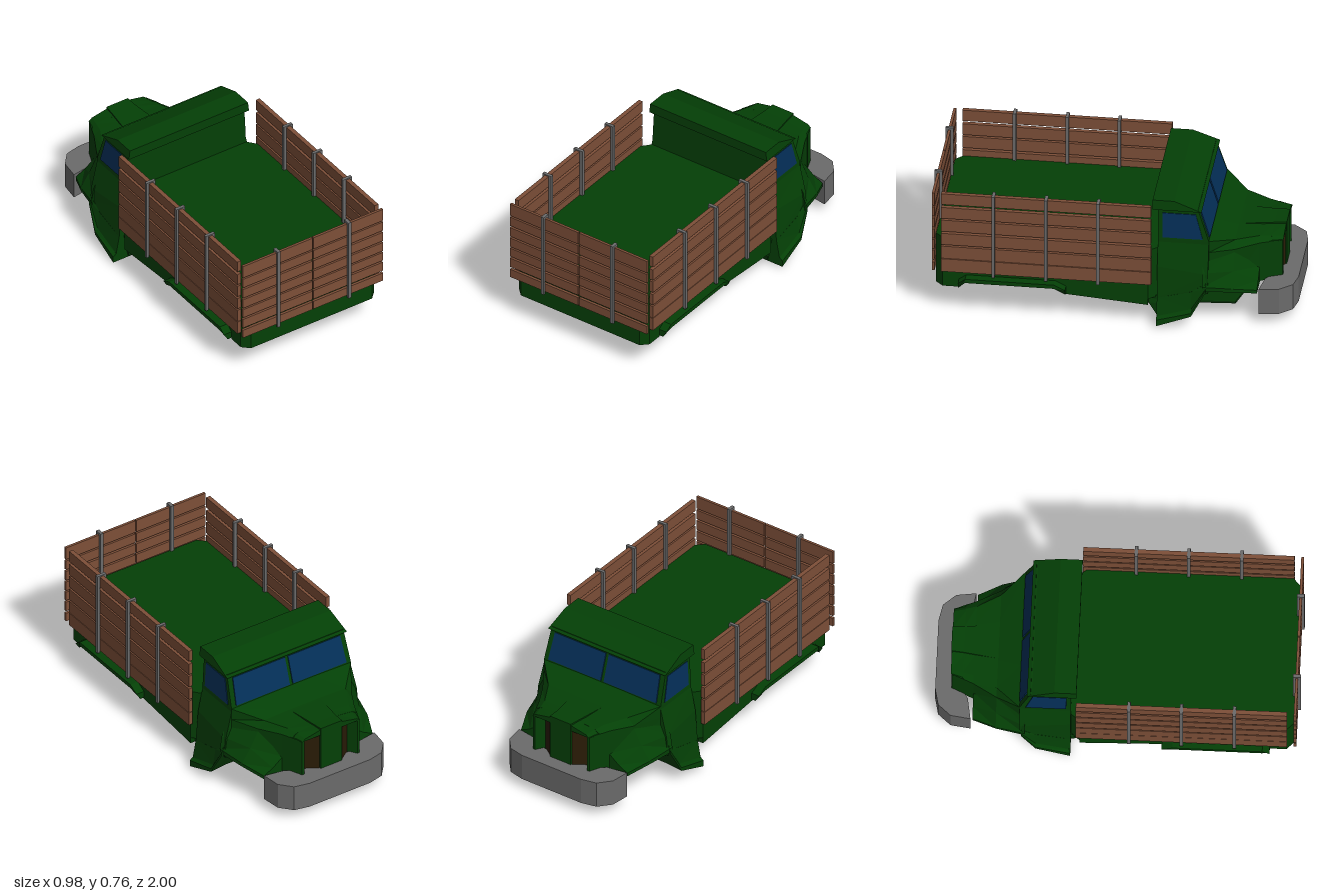
import * as THREE from 'three';

const mat = (name, color) => {
  const m = new THREE.MeshStandardMaterial({ color, flatShading: true });
  m.name = name;
  return m;
};

// Solid skinned through rings of [x, y, z] points, capped at both ends.
function loft(rings) {
  const n = rings[0].length, tris = [];
  for (let i = 0; i < rings.length - 1; i++) {
    for (let j = 0; j < n; j++) {
      const k = (j + 1) % n, a = rings[i], b = rings[i + 1];
      tris.push([a[j], a[k], b[k]], [a[j], b[k], b[j]]);
    }
  }
  const centre = r => [0, 1, 2].map(c => r.reduce((s, p) => s + p[c], 0) / n);
  const first = rings[0], last = rings[rings.length - 1];
  for (let j = 0; j < n; j++) {
    const k = (j + 1) % n;
    tris.push([centre(first), first[k], first[j]], [centre(last), last[j], last[k]]);
  }
  // Turn the faces outward whatever the ring direction
  let volume = 0;
  const v = p => new THREE.Vector3(...p);
  tris.forEach(([a, b, c]) => { volume += v(a).dot(v(b).cross(v(c))); });
  if (volume < 0) tris.forEach(t => t.reverse());
  const g = new THREE.BufferGeometry();
  g.setAttribute('position', new THREE.Float32BufferAttribute(tris.flat(2), 3));
  g.computeVertexNormals();
  return g;
}

// Ring across the body at z; symmetric() mirrors a half section over x = 0.
const section = (z, pts) => pts.map(([x, y]) => [x, y, z]);
const symmetric = (z, half) => section(z, [...half, ...half.map(([x, y]) => [-x, y]).reverse()]);
// Horizontal rectangle ring of half width x
const level = (y, zRear, zFront, x) => [[-x, y, zRear], [x, y, zRear], [x, y, zFront], [-x, y, zFront]];
const flip = (rings, s) => rings.map(r => r.map(([x, y, z]) => [x * s, y, z]));

export function createModel() {
  const truck = new THREE.Group();
  truck.name = 'stakeTruck';
  const green = mat('greenPaint', 0x044006);
  const wood = mat('brownWood', 0x7d4f38);
  const metal = mat('greyMetal', 0x6b6b6b);
  const glass = mat('blueGlass', 0x04305a);
  const dark = mat('darkGrille', 0x2a1c06);

  const add = (name, geometry, material, parent = truck) => {
    const m = new THREE.Mesh(geometry, material);
    m.name = name;
    parent.add(m);
    return m;
  };
  const box = (name, material, x0, x1, y0, y1, z0, z1, parent) => {
    const m = add(name, new THREE.BoxGeometry(x1 - x0, y1 - y0, z1 - z0), material, parent);
    m.position.set((x0 + x1) / 2, (y0 + y1) / 2, (z0 + z1) / 2);
  };
  const plate = (name, material, pts, [dx, dy, dz]) =>
    add(name, loft([pts, pts.map(([x, y, z]) => [x + dx, y + dy, z + dz])]), material);

  // Cargo bed, cut away underneath for the rear wheels
  const bedSection = ([z, x]) => symmetric(z, [[x, 0.157], [x, 0.465]]);
  const well = [[0.2, 0.157], [0.2, 0.21], [0.44, 0.21], [0.44, 0.465]];
  add('bedFront', loft([[-0.25, 0.40], [-0.2, 0.44], [0.27, 0.44]].map(bedSection)), green);
  add('bedMiddle', loft([symmetric(0.27, well), symmetric(0.84, well)]), green);
  add('bedRear', loft([[0.84, 0.44], [0.93, 0.44], [0.97, 0.40]].map(bedSection)), green);

  // Cab body, greenhouse and roof with a peaked visor
  add('cabBody', loft([
    symmetric(-0.25, [[0.43, 0.12], [0.44, 0.17], [0.425, 0.36], [0.395, 0.5], [0.395, 0.52]]),
    symmetric(-0.53, [[0.43, 0.21], [0.44, 0.25], [0.435, 0.33], [0.395, 0.5], [0.395, 0.52]]),
  ]), green);
  add('cabUpper', loft([level(0.52, -0.25, -0.53, 0.395), level(0.71, -0.25, -0.47, 0.385)]), green);
  add('roof', loft([level(0.70, -0.22, -0.49, 0.396), level(0.757, -0.22, -0.34, 0.39)]), green);

  // Hood, with a centre ridge and a thin lid over the grille recesses
  add('hood', loft([
    symmetric(-0.53, [[0.395, 0.22], [0.395, 0.45], [0.395, 0.52], [0.15, 0.525]]),
    symmetric(-0.66, [[0.30, 0.21], [0.31, 0.43], [0.27, 0.47], [0.11, 0.475]]),
    symmetric(-0.79, [[0.24, 0.2], [0.24, 0.44], [0.2, 0.465], [0.09, 0.47]]),
    symmetric(-0.85, [[0.215, 0.205], [0.215, 0.44], [0.185, 0.46], [0.08, 0.472]]),
  ]), green);
  add('noseRidge', loft([
    symmetric(-0.66, [[0.1, 0.3], [0.1, 0.474]]),
    symmetric(-0.85, [[0.075, 0.205], [0.075, 0.48]]),
    symmetric(-0.918, [[0.07, 0.21], [0.07, 0.485]]),
  ]), green);
  add('noseLid', loft([
    symmetric(-0.84, [[0.218, 0.435], [0.185, 0.46], [0.08, 0.472]]),
    symmetric(-0.915, [[0.19, 0.44], [0.17, 0.455], [0.07, 0.475]]),
  ]), green);

  // Window planes: sloping front face and nearly upright sides
  const screenZ = y => -0.53 + (y - 0.52) * 0.316;
  const sideX = y => 0.395 - (y - 0.52) * 0.053;

  for (const s of [1, -1]) {
    const side = s > 0 ? 'left' : 'right';
    plate(side + 'Windscreen', glass,
      [[0.01, 0.53], [0.365, 0.53], [0.355, 0.685], [0.01, 0.685]].map(([x, y]) => [x * s, y, screenZ(y)]),
      [0, 0.002, -0.006]);
    plate(side + 'DoorWindow', glass,
      [[0.53, -0.275], [0.53, -0.497], [0.68, -0.458], [0.68, -0.275]].map(([y, z]) => [s * sideX(y), y, z]),
      [0.004 * s, 0, 0]);

    // Dark grille slanting back from the ridge, with an outer nose post
    const slant = [[0.071, -0.905], [0.145, -0.851]];
    plate(side + 'GrilleStrip', dark,
      [0.21, 0.45].flatMap((y, i) => (i ? [...slant].reverse() : slant).map(([x, z]) => [x * s, y, z])),
      [0.003 * s, 0, -0.005]);
    const post = [[0.14, -0.84], [0.14, -0.855], [0.175, -0.912], [0.19, -0.91], [0.22, -0.84]];
    add(side + 'NosePost', loft([0.207, 0.442].map(y => post.map(([x, z]) => [x * s, y, z]))), green);
    // Grille continuing down the front of the engine pan
    plate(side + 'LowerGrille', dark,
      [[0.08, 0.185, -0.766], [0.16, 0.185, -0.766], [0.165, 0.09, -0.702], [0.08, 0.09, -0.702]]
        .map(([x, y, z]) => [x * s, y, z]),
      [0, -0.004, -0.005]);

    // Front fender, narrowing towards the bumper
    add(side + 'FrontFender', loft(flip([
      section(-0.5, [[0.2, 0.23], [0.45, 0.23], [0.452, 0.26], [0.44, 0.34], [0.385, 0.46], [0.2, 0.46]]),
      section(-0.66, [[0.2, 0.22], [0.415, 0.22], [0.415, 0.24], [0.36, 0.32], [0.30, 0.43], [0.2, 0.43]]),
      section(-0.79, [[0.18, 0.19], [0.36, 0.19], [0.36, 0.21], [0.3, 0.24], [0.235, 0.29], [0.18, 0.29]]),
    ], s)), green);

    // Skirt flaring out to the running board
    add(side + 'RunningBoard', loft(flip([
      section(-0.25, [[0.37, 0.17], [0.44, 0.17], [0.46, 0.065], [0.48, 0.05], [0.48, 0.012], [0.37, 0.012]]),
      section(-0.44, [[0.37, 0.22], [0.44, 0.22], [0.455, 0.12], [0.47, 0.1], [0.47, 0.08], [0.37, 0.09]]),
      section(-0.52, [[0.37, 0.28], [0.44, 0.28], [0.45, 0.25], [0.455, 0.245], [0.455, 0.228], [0.37, 0.228]]),
    ], s)), green);

    // Wedge behind the open front wheel well
    const wedge = [[-0.2, 0.157], [-0.2, 0.12], [-0.25, 0.012], [-0.28, 0.012], [-0.44, 0.09], [-0.52, 0.23]];
    add(side + 'WheelWedge', loft([0.195, 0.41].map(x =>
      wedge.map(([z, y]) => [s * (y < 0.1 ? Math.min(Math.max(x, 0.22), 0.38) : x), y, z]))), green);

    // Sill dropping forward along the bed edge
    const sill = [[0.27, 0.157], [-0.2, 0.12], [-0.2, 0.17], [0.27, 0.17]];
    add(side + 'Sill', loft([0.41, 0.44].map(x => sill.map(([z, y]) => [x * s, y, z]))), green);

    // Rear fender lip arching over the wheel
    const lip = [[0.43, 0.235], [0.49, 0.235], [0.49, 0.212], [0.43, 0.208]];
    const lipEnd = [[0.43, 0.205], [0.49, 0.205], [0.465, 0.165], [0.43, 0.165]];
    add(side + 'RearFender', loft(flip([
      section(0.25, lipEnd), section(0.31, lip), section(0.80, lip), section(0.84, lipEnd),
    ], s)), green);
  }

  // Engine pan under the cab
  add('enginePan', loft([
    symmetric(-0.22, [[0.1, 0.065], [0.19, 0.1], [0.19, 0.2]]),
    symmetric(-0.4, [[0.18, 0.0], [0.19, 0.02], [0.19, 0.24]]),
    symmetric(-0.65, [[0.18, 0.012], [0.19, 0.03], [0.19, 0.24]]),
    symmetric(-0.77, [[0.17, 0.19], [0.18, 0.2], [0.18, 0.23]]),
  ]), green);

  // Wraparound bumper
  const half = [[0.2, 1], [0.29, 0.98], [0.35, 0.91], [0.365, 0.8], [0.245, 0.82], [0.18, 0.87]];
  const outline = [...half, ...half.map(([x, z]) => [-x, z]).reverse()];
  const bumper = new THREE.ExtrudeGeometry(
    new THREE.Shape(outline.map(([x, z]) => new THREE.Vector2(x, z))), { depth: 0.155, bevelEnabled: false });
  bumper.rotateX(-Math.PI / 2).translate(0, 0.065, 0);
  add('bumper', bumper, metal);

  // Side racks: six boards and three stakes each
  const sideRows = [[0.262, 0.342], [0.346, 0.422], [0.432, 0.503], [0.516, 0.587], [0.598, 0.667], [0.686, 0.753]];
  for (const s of [1, -1]) {
    const rack = new THREE.Group();
    rack.name = s > 0 ? 'leftRack' : 'rightRack';
    truck.add(rack);
    const span = (a, b) => s > 0 ? [a, b] : [-b, -a];
    for (const [y0, y1] of sideRows) box('sideBoard', wood, ...span(0.441, 0.466), y0, y1, -0.22, 0.935, rack);
    for (const z of [0.07, 0.357, 0.647]) {
      box('outerStake', metal, ...span(0.466, 0.482), 0.25, 0.76, z - 0.009, z + 0.009, rack);
      box('innerStake', metal, ...span(0.423, 0.441), 0.44, 0.76, z - 0.009, z + 0.009, rack);
      box('stakeCap', metal, ...span(0.441, 0.466), 0.753, 0.76, z - 0.009, z + 0.009, rack);
    }
  }

  // Tailgate: two leaves of seven boards, one stake each
  const rearRows = [[0.264, 0.316], [0.332, 0.39], [0.402, 0.457], [0.467, 0.525], [0.536, 0.595], [0.607, 0.665], [0.675, 0.752]];
  const gate = new THREE.Group();
  gate.name = 'tailgate';
  truck.add(gate);
  for (const s of [1, -1]) {
    const span = (a, b) => s > 0 ? [a, b] : [-b, -a];
    for (const [y0, y1] of rearRows) box('gateBoard', wood, ...span(0.003, 0.462), y0, y1, 0.971, 0.986, gate);
    box('outerGateStake', metal, ...span(0.224, 0.243), 0.25, 0.765, 0.986, 1.0, gate);
    box('innerGateStake', metal, ...span(0.224, 0.243), 0.44, 0.765, 0.957, 0.971, gate);
    box('gateStakeCap', metal, ...span(0.224, 0.243), 0.752, 0.765, 0.971, 0.986, gate);
  }
  return truck;
}
